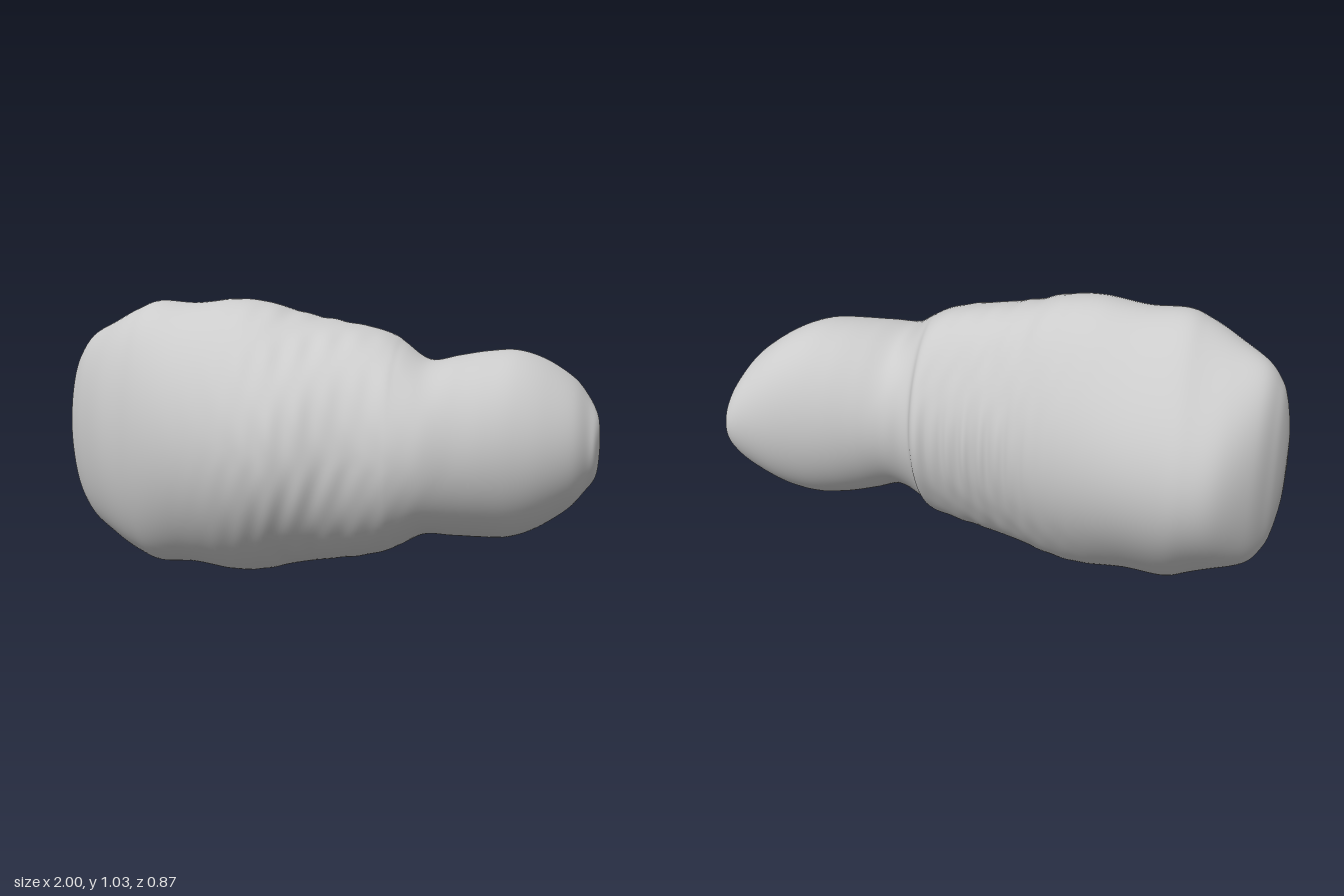
import * as THREE from 'three';

const MID_Y = 0.517;
// Stations along the length: x, half height, back z, front z
const STATIONS = [
  [-1, 0, -0.04, -0.04], [-0.995, 0.13, -0.11, 0.0], [-0.975, 0.25, -0.18, 0.04],
  [-0.95, 0.315, -0.23, 0.07], [-0.9, 0.375, -0.31, 0.12], [-0.8, 0.425, -0.405, 0.2],
  [-0.7, 0.475, -0.437, 0.25], [-0.62, 0.503, -0.437, 0.29], [-0.48, 0.497, -0.42, 0.345],
  [-0.32, 0.514, -0.39, 0.397], [-0.2, 0.503, -0.365, 0.423], [-0.1, 0.475, -0.34, 0.432],
  [0, 0.452, -0.322, 0.417], [0.1, 0.434, -0.308, 0.395], [0.2, 0.415, -0.298, 0.388],
  [0.27, 0.39, -0.308, 0.392], [0.31, 0.366, -0.27, 0.39], [0.4, 0.312, -0.288, 0.37],
  [0.5, 0.325, -0.32, 0.325], [0.6, 0.338, -0.35, 0.285], [0.7, 0.34, -0.372, 0.24],
  [0.8, 0.306, -0.388, 0.185], [0.9, 0.24, -0.394, 0.11], [0.95, 0.18, -0.39, 0.045],
  [0.973, 0.13, -0.37, 0.005], [0.967, 0.07, -0.3, -0.08], [0.96, 0, -0.19, -0.19],
];
const STEPS = 8, SIDES = 96;
const { smoothstep, lerp } = THREE.MathUtils;
const bump = (v, centre, width) => Math.exp(-(((v - centre) / width) ** 2));

// Lofts rounded sections through the stations, adding wrinkles and a scooped tip
function createBodyGeometry() {
  const spline = new THREE.CubicInterpolant(
    STATIONS.map((s, i) => i), STATIONS.flat(), 4, new Float32Array(4));
  const rings = (STATIONS.length - 1) * STEPS;
  const positions = [], indices = [];
  for (let i = 0; i <= rings; i++) {
    const [x, h, back, front] = spline.evaluate(i / STEPS);
    const centreZ = (back + front) / 2, halfZ = (front - back) / 2;
    // The body is flatter behind than in front, where it swells before the neck
    const inBody = smoothstep(x, -1, -0.7) * (1 - smoothstep(x, 0.25, 0.42));
    const frontPinch = lerp(0.025, -0.025, smoothstep(x, -0.15, 0.15));
    const crestShift = (-0.02 - centreZ) * 0.9 * inBody;
    // The crest of the head sits slightly towards the back
    const headShift = -0.018 * smoothstep(x, 0.4, 0.6) * (1 - smoothstep(x, 0.8, 0.95));
    for (let j = 0; j < SIDES; j++) {
      const t = (j / SIDES) * Math.PI * 2;
      const c = Math.cos(t), s = Math.sin(t);
      const pinch = inBody * lerp(0.06, frontPinch, smoothstep(s, -0.3, 0.3));
      // Fine ridges behind, soft mottled folds elsewhere
      const ridges = 0.009 * bump(x, 0.06, 0.2) * Math.max(0, -s) ** 14 * Math.sin(x * 105);
      const folds = 0.0055 * bump(x, 0, 0.27) * (1 - 0.6 * c * c)
        * (1 - Math.max(0, -s) ** 6)
        * Math.sin(x * 62 + 5 * Math.abs(c)) * (0.5 + 0.5 * Math.cos(10 * t + x * 14));
      const r = 1 - pinch * Math.sin(2 * t) ** 2 + (ridges + folds) / 0.4;
      const y = h * c * r;
      const z = centreZ + halfZ * s * r + (crestShift + headShift) * c * c;
      const tip = 0.033 * smoothstep(x, 0.9, 0.97) * bump(z, -0.09, 0.075) * bump(y, 0, 0.13);
      positions.push(x + tip, MID_Y + y, z);
      if (i < rings) {
        const a = i * SIDES + j, b = i * SIDES + (j + 1) % SIDES;
        indices.push(a, b, a + SIDES, b, b + SIDES, a + SIDES);
      }
    }
  }
  const geometry = new THREE.BufferGeometry();
  geometry.setAttribute('position', new THREE.Float32BufferAttribute(positions, 3));
  geometry.setIndex(indices);
  geometry.computeVertexNormals();
  return geometry;
}

export function createModel() {
  const group = new THREE.Group();
  group.name = 'wrinkledForm';
  const body = new THREE.Mesh(createBodyGeometry(),
    new THREE.MeshStandardMaterial({ color: 0xcccccc }));
  body.name = 'bodyAndHead';
  group.add(body);
  return group;
}
